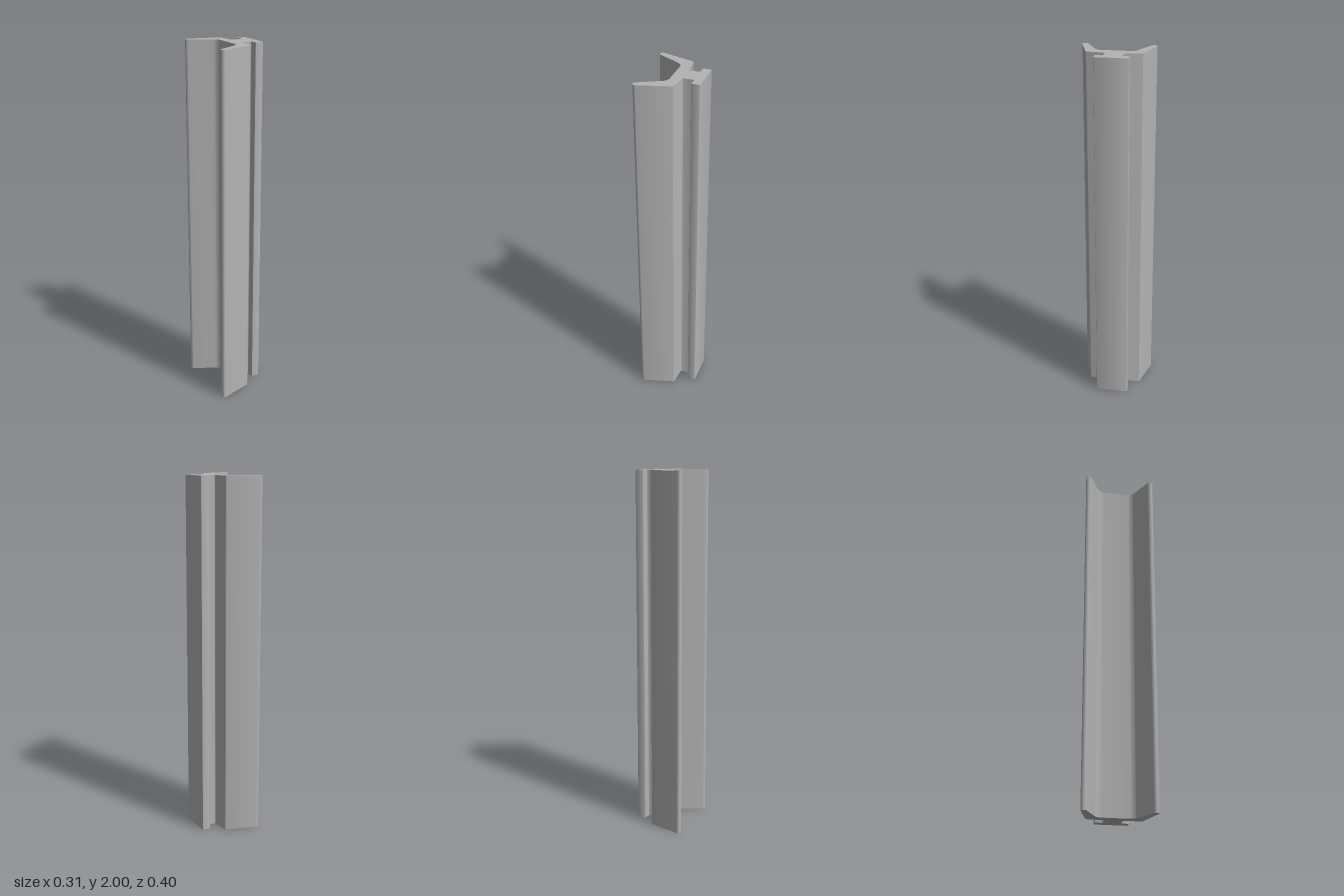
import * as THREE from 'three';
import { toCreasedNormals } from 'three/addons/utils/BufferGeometryUtils.js';

export function createModel() {
  const model = new THREE.Group();
  const grey = new THREE.MeshStandardMaterial({ color: 0xb3b3b3 });
  grey.name = 'grey aluminium';

  // Half of the cross-section, from the flange round to the channel floor
  const half = new THREE.Path();
  half.moveTo(0.155, 0.087);
  half.quadraticCurveTo(0.155, 0.091, 0.151, 0.091);
  half.lineTo(0.112, 0.091);
  half.quadraticCurveTo(0.109, 0.091, 0.109, 0.088);
  half.lineTo(0.109, 0.060);
  half.quadraticCurveTo(0.109, 0.048, 0.098, 0.048);
  half.lineTo(0.056, 0.048);
  half.quadraticCurveTo(0.05, 0.048, 0.0494, 0.055);
  half.lineTo(0.0409, 0.143);
  half.quadraticCurveTo(0.0405, 0.150, 0.034, 0.152);
  // Rounded tip of the splayed arm
  half.absarc(-0.141, 0.185, 0.0155, THREE.MathUtils.degToRad(74.7), THREE.MathUtils.degToRad(243), false);
  half.lineTo(-0.032, 0.112);
  half.bezierCurveTo(-0.017, 0.104, -0.007, 0.089, -0.007, 0.072);

  // Mirror into the full closed profile
  const points = half.getPoints(10);
  const mirrored = points.map(p => new THREE.Vector2(p.x, -p.y)).reverse();
  const profile = new THREE.Shape([...points, ...mirrored]);

  // Extrude upwards
  const bar = new THREE.ExtrudeGeometry(profile, { depth: 2, bevelEnabled: false });
  bar.rotateX(-Math.PI / 2);
  const mesh = new THREE.Mesh(toCreasedNormals(bar, 0.5), grey);
  mesh.name = 'extrudedProfile';
  model.add(mesh);
  return model;
}
